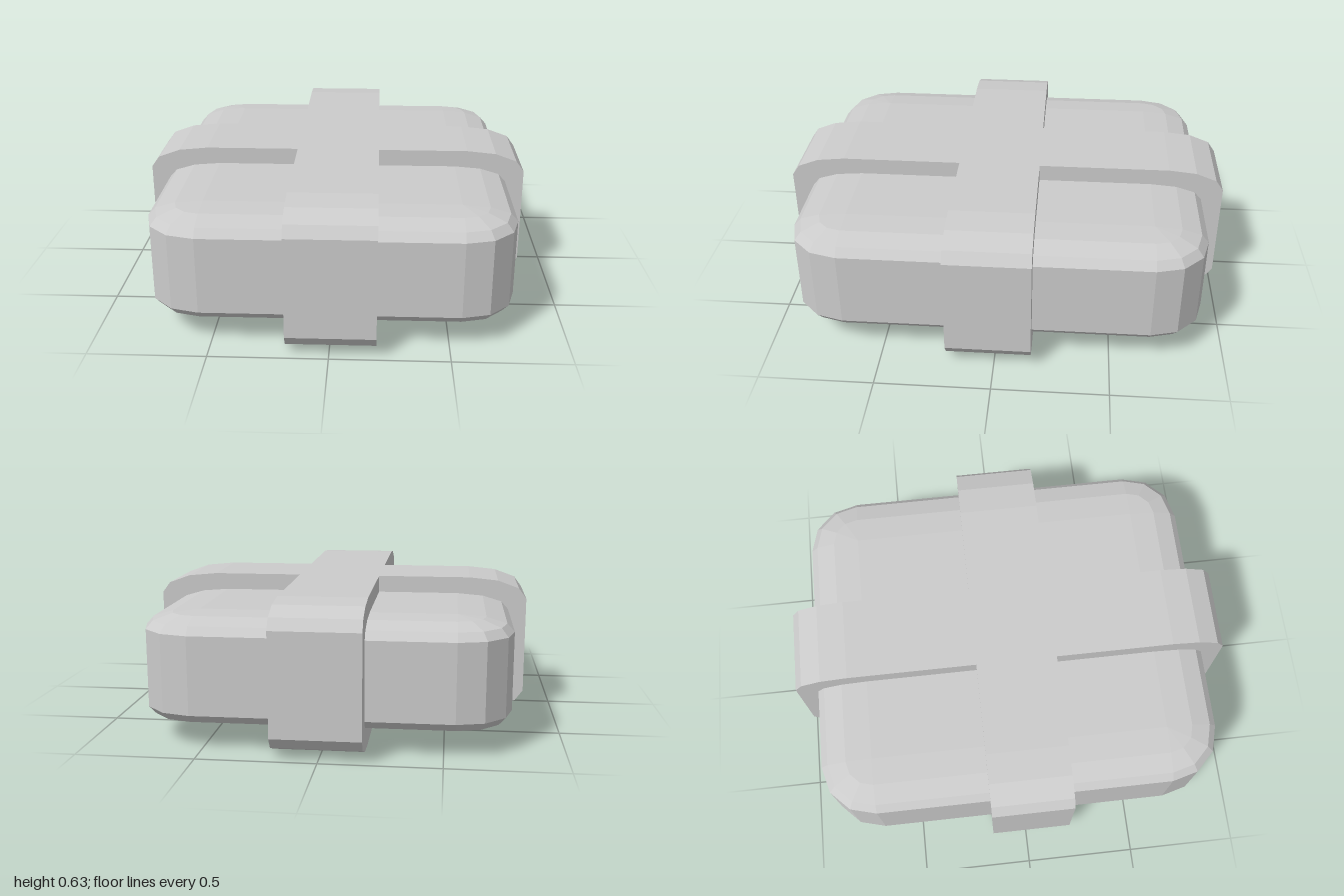
import * as THREE from 'three';
import { ConvexGeometry } from 'three/addons/geometries/ConvexGeometry.js';

const STEPS = 3; // facets per rounded corner
const material = new THREE.MeshStandardMaterial({ color: 0xcccccc, flatShading: true });

// Slab with flattened, faceted rounding on every corner
function roundedSlab(hx, hz, y0, y1, r, ry) {
  const points = [];
  for (const sx of [-1, 1]) for (const sy of [-1, 1]) for (const sz of [-1, 1]) {
    for (let j = 0; j <= STEPS; j++) {
      const phi = (j / STEPS) * Math.PI / 2;
      const y = sy > 0 ? y1 - ry + ry * Math.sin(phi) : y0 + ry - ry * Math.sin(phi);
      const ring = j === STEPS ? 0 : r * Math.cos(phi);
      for (let i = 0; i <= (ring ? STEPS : 0); i++) {
        const t = (i / STEPS) * Math.PI / 2;
        points.push(new THREE.Vector3(
          sx * (hx - r + ring * Math.cos(t)), y, sz * (hz - r + ring * Math.sin(t))));
      }
    }
  }
  return new ConvexGeometry(points);
}

// Outline of half a band, from its inner cut to its rounded outer end
function halfBand(inner, outer, height, r, ry, width) {
  const pts = [new THREE.Vector2(inner, 0)];
  for (let i = 0; i <= STEPS; i++) {
    const t = (i / STEPS) * Math.PI / 2;
    pts.push(new THREE.Vector2(outer - r + r * Math.sin(t), ry - ry * Math.cos(t)));
  }
  for (let i = 0; i <= STEPS; i++) {
    const t = (i / STEPS) * Math.PI / 2;
    pts.push(new THREE.Vector2(outer - r + r * Math.cos(t), height - ry + ry * Math.sin(t)));
  }
  pts.push(new THREE.Vector2(inner, height));
  return new THREE.ExtrudeGeometry(new THREE.Shape(pts), { depth: width, bevelEnabled: false });
}

export function createModel() {
  const group = new THREE.Group();
  const add = (name, geometry) => {
    const mesh = new THREE.Mesh(geometry, material);
    mesh.name = name;
    group.add(mesh);
  };

  add('body', roundedSlab(0.78, 0.905, 0.08, 0.555, 0.235, 0.07));

  const H = 0.63, RY = 0.095;
  const x0 = -0.18, x1 = 0.195; // lengthwise band
  const z0 = -0.16, z1 = 0.21;  // crosswise band

  // Lengthwise band in two halves, meeting in the middle
  add('bandFront', halfBand(0, 1, H, 0.25, RY, x1 - x0).rotateY(-Math.PI / 2).translate(x1, 0, 0));
  add('bandBack', halfBand(0, 1, H, 0.25, RY, x1 - x0).rotateY(Math.PI / 2).translate(x0, 0, 0));

  // Crosswise band, cut where it meets the lengthwise one
  add('bandLeft', halfBand(x1, 0.863, H, 0.263, RY, z1 - z0).translate(0, 0, z0));
  add('bandRight', halfBand(-x0, 0.863, H, 0.263, RY, z1 - z0).rotateY(Math.PI).translate(0, 0, z1));

  return group;
}
